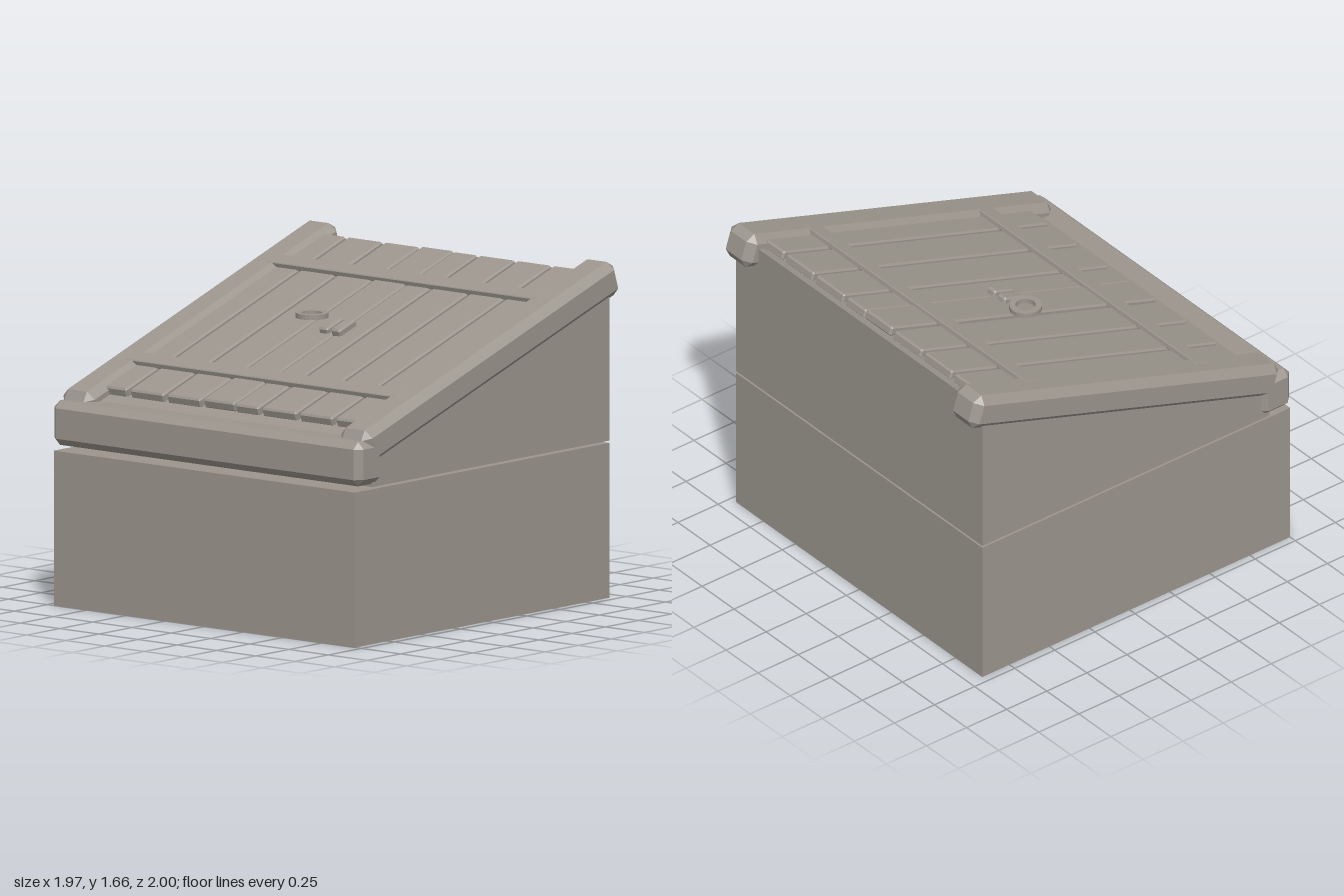
import * as THREE from 'three';
import { ConvexGeometry } from 'three/addons/geometries/ConvexGeometry.js';

const grey = new THREE.MeshStandardMaterial({ color: 0x9b958d });
grey.name = 'stone grey';
grey.flatShading = true;

function add(parent, name, geometry, x = 0, y = 0, z = 0) {
  const mesh = new THREE.Mesh(geometry, grey);
  mesh.name = name;
  mesh.position.set(x, y, z);
  parent.add(mesh);
  return mesh;
}

// Box with every edge chamfered by c
function chamferBox(w, h, d, c) {
  const points = [];
  for (const sx of [-1, 1]) for (const sy of [-1, 1]) for (const sz of [-1, 1]) {
    for (let axis = 0; axis < 3; axis++) {
      const inset = [c, c, c];
      inset[axis] = 0;
      points.push(new THREE.Vector3(
        sx * (w / 2 - inset[0]), sy * (h / 2 - inset[1]), sz * (d / 2 - inset[2])));
    }
  }
  return new ConvexGeometry(points);
}

export function createModel() {
  const model = new THREE.Group();
  model.name = 'cellarHatch';

  // Lower block
  add(model, 'base', new THREE.BoxGeometry(1.92, 0.765, 1.92), 0, 0.3825, 0.04);

  // Sloped upper block: side profile (-z, y) extruded across the width
  const profile = new THREE.Shape([
    new THREE.Vector2(-0.87, 0.776), new THREE.Vector2(0.92, 0.776),
    new THREE.Vector2(0.92, 1.592), new THREE.Vector2(-0.87, 1.005),
  ]);
  const wedge = new THREE.ExtrudeGeometry(profile, { depth: 1.92, bevelEnabled: false });
  wedge.translate(0, 0, -0.96).rotateY(Math.PI / 2);
  add(model, 'slopedBody', wedge);

  // Front cross beam
  add(model, 'frontBeam', chamferBox(1.97, 0.22, 0.19, 0.035), 0, 0.9, 0.905);

  // Everything on the slope, local y = 0 is the plank surface
  const slope = new THREE.Group();
  slope.name = 'slopedDoors';
  slope.position.y = 1.335;
  slope.rotation.x = Math.atan(0.328);
  model.add(slope);

  for (const s of [-1, 1]) {
    add(slope, s > 0 ? 'leftRail' : 'rightRail',
      chamferBox(0.2, 0.18, 2.0, 0.04), s * 0.885, -0.068, -0.009);
  }

  // Door planks: [left edge, right edge, lift]
  const planks = [
    [-0.81, -0.67, 0], [-0.65, -0.435, 0], [-0.415, -0.2, 0], [-0.18, 0.019, 0.005],
    [0.021, 0.17, 0], [0.19, 0.41, 0], [0.43, 0.64, 0], [0.66, 0.8, 0],
  ];
  planks.forEach(([a, b, lift], i) => {
    add(slope, 'plank' + (i + 1), chamferBox(b - a, 0.05, 1.745, 0.009),
      (a + b) / 2, -0.025 + lift, -0.033);
  });

  // Cross straps
  for (const [name, z] of [['upperStrap', -0.565], ['lowerStrap', 0.55]]) {
    add(slope, name, chamferBox(1.735, 0.03, 0.09, 0.004), 0, 0.009, z);
  }

  // Pair of latch plates
  for (const s of [-1, 1]) {
    add(slope, s > 0 ? 'leftLatch' : 'rightLatch',
      chamferBox(0.062, 0.045, 0.135, 0.01), s * 0.039, 0.012, -0.012);
  }

  // Flat pull ring, lying level
  const ring = new THREE.Shape().absarc(0, 0, 0.08, 0, Math.PI * 2);
  ring.holes.push(new THREE.Path().absarc(0, 0, 0.05, 0, Math.PI * 2, true));
  const ringGeometry = new THREE.ExtrudeGeometry(ring,
    { depth: 0.025, bevelEnabled: false, curveSegments: 12 });
  ringGeometry.rotateX(-Math.PI / 2);
  add(model, 'pullRing', ringGeometry, -0.182, 1.375, -0.028);

  return model;
}
